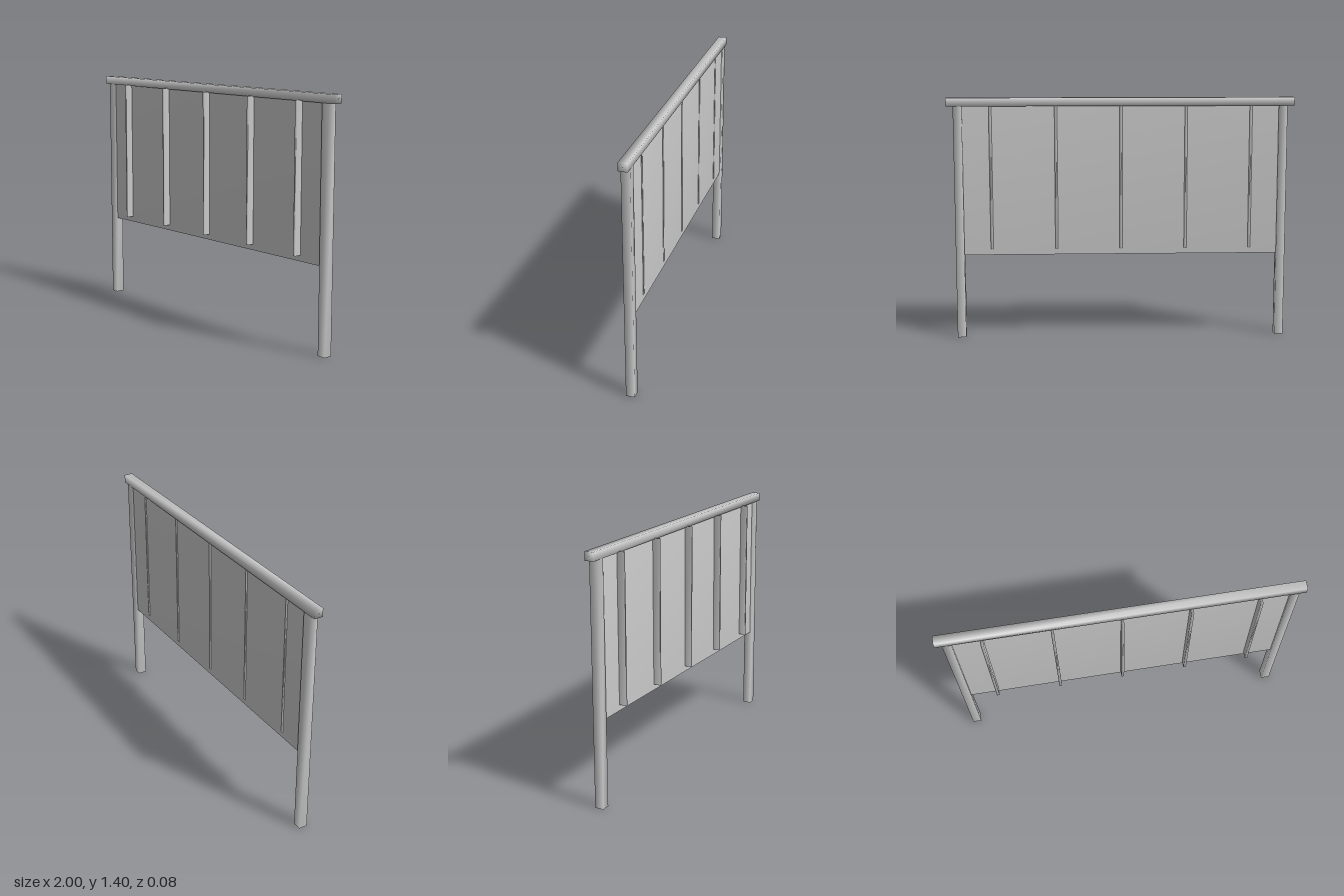
import * as THREE from 'three';
import { mergeVertices } from 'three/addons/utils/BufferGeometryUtils.js';

const material = new THREE.MeshStandardMaterial({ color: 0xcccccc });

// Block between two corners, with normals shared across its edges for soft shading
function softBlock(name, [x0, y0, z0], [x1, y1, z1]) {
  const box = new THREE.BoxGeometry(x1 - x0, y1 - y0, z1 - z0);
  box.translate((x0 + x1) / 2, (y0 + y1) / 2, (z0 + z1) / 2);
  box.deleteAttribute('normal');
  box.deleteAttribute('uv');
  const geometry = mergeVertices(box);
  geometry.computeVertexNormals();
  const mesh = new THREE.Mesh(geometry, material);
  mesh.name = name;
  return mesh;
}

export function createModel() {
  const group = new THREE.Group();
  group.name = 'headboard';

  // Rail across the top
  group.add(softBlock('topRail', [-1, 1.352, -0.039], [1, 1.4, 0.011]));

  // Posts at both ends
  group.add(softBlock('leftPost', [0.91, 0, -0.039], [0.96, 1.354, 0.011]));
  group.add(softBlock('rightPost', [-0.96, 0, -0.039], [-0.91, 1.354, 0.011]));

  // Panel set back between the posts
  group.add(softBlock('panel', [-0.912, 0.49, -0.03], [0.912, 1.354, 0]));

  // Upright slats standing proud of the front, just showing at the back
  for (let i = -2; i <= 2; i++) {
    const x = i * 0.375;
    group.add(softBlock('slat', [x - 0.008, 0.523, -0.031], [x + 0.008, 1.357, 0.039]));
  }

  return group;
}
